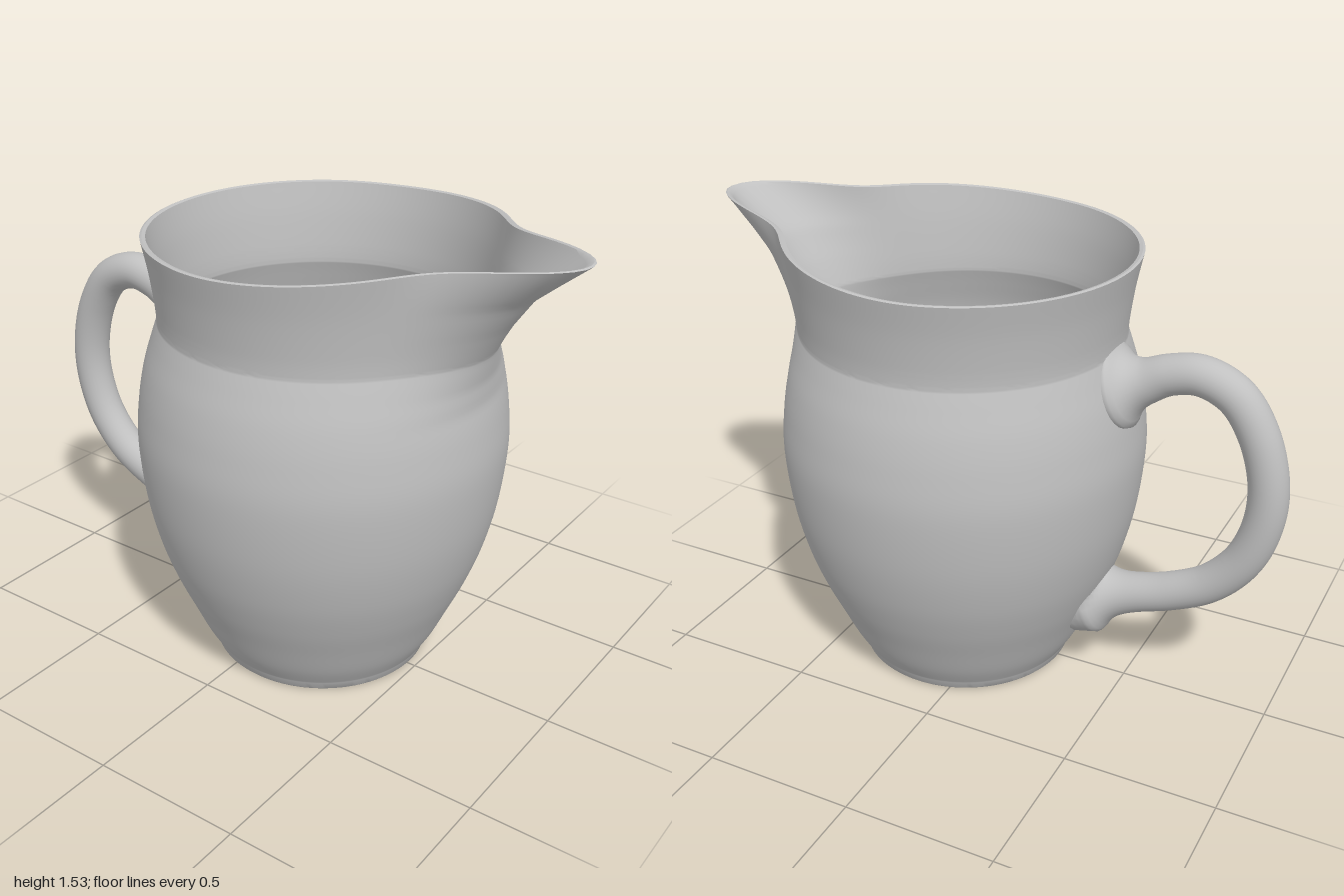
import * as THREE from 'three';
import { toCreasedNormals } from 'three/addons/utils/BufferGeometryUtils.js';

const AXIS_Z = 0.11;   // the pot's axis sits forward of the origin
const NECK_Y = 1.19, RIM_Y = 1.465, WALL = 0.018;

// Piecewise linear lookup in a list of [input, output]
function lookup(table, v) {
  if (v <= table[0][0]) return table[0][1];
  for (let i = 1; i < table.length; i++) {
    const [a, fa] = table[i - 1], [b, fb] = table[i];
    if (v <= b) return fa + (fb - fa) * (v - a) / (b - a);
  }
  return table[table.length - 1][1];
}

const smooth = THREE.MathUtils.smoothstep;

// Outer silhouette: rounded belly, then a flared collar
const belly = new THREE.SplineCurve([
  [0.37, 0.03], [0.412, 0.1], [0.458, 0.2], [0.507, 0.31], [0.553, 0.44], [0.589, 0.6],
  [0.607, 0.79], [0.597, 0.93], [0.577, 1.04], [0.55, 1.13], [0.53, NECK_Y],
].map(([r, y]) => new THREE.Vector2(r, y))).getPoints(60);
const collar = new THREE.SplineCurve([
  [0.53, NECK_Y], [0.534, 1.25], [0.549, 1.36], [0.57, RIM_Y],
].map(([r, y]) => new THREE.Vector2(r, y))).getPoints(24).slice(1);
const outline = [...belly, ...collar];
const radiusTable = outline.map((p) => [p.y, p.x]);
const outerRadius = (y) => lookup(radiusTable, y);

// How strongly the spout pulls the wall forward at each height
const spoutPull = [[1.03, 0], [1.1, 0.06], [1.18, 0.18], [1.27, 0.34],
  [1.355, 0.53], [1.405, 0.74], [RIM_Y, 1]];

function makePot(material) {
  const profile = [
    new THREE.Vector2(0, 0), new THREE.Vector2(0.357, 0), new THREE.Vector2(0.365, 0.008),
    ...outline,
    new THREE.Vector2(0.563, RIM_Y + 0.003),
    ...outline.slice(1).reverse().map((p) => new THREE.Vector2(p.x - WALL, p.y)),
    new THREE.Vector2(0.355, 0.035), new THREE.Vector2(0, 0.035),
  ];
  const geometry = new THREE.LatheGeometry(profile, 160, Math.PI);
  const pos = geometry.attributes.position;
  for (let i = 0; i < pos.count; i++) {
    let x = pos.getX(i), y = pos.getY(i), z = pos.getZ(i);
    const pull = lookup(spoutPull, y);
    if (pull > 0) {
      // Spout: a bump around the front that narrows towards the lip
      const angle = Math.atan2(x, z), r = Math.hypot(x, z);
      const spread = THREE.MathUtils.lerp(0.42, 0.285, pull);
      const k = 1 + 0.32 * pull * Math.exp(-((angle / spread) ** 2)) / r;
      x *= k;
      z *= k;
    }
    z += AXIS_Z;
    // The rim rises gently towards the spout
    y += 0.066 * smooth(z, -0.05, 1.08) * THREE.MathUtils.clamp((y - NECK_Y) / (RIM_Y - NECK_Y), 0, 1);
    pos.setXYZ(i, x, y, z);
  }
  const mesh = new THREE.Mesh(toCreasedNormals(geometry, 0.6), material);
  mesh.name = 'pot';
  return mesh;
}

function makeHandle(material) {
  const path = new THREE.CatmullRomCurve3([
    [-0.37, 1.065], [-0.44, 1.085], [-0.52, 1.115], [-0.6, 1.152], [-0.7, 1.168], [-0.81, 1.123],
    [-0.89, 1.01], [-0.935, 0.85], [-0.93, 0.71], [-0.88, 0.57], [-0.78, 0.455],
    [-0.65, 0.385], [-0.52, 0.342], [-0.42, 0.315], [-0.32, 0.29],
  ].map(([z, y]) => new THREE.Vector3(0, y, z)));
  const rings = 140, sides = 28;
  const geometry = new THREE.TubeGeometry(path, rings, 0.064, sides);
  const pos = geometry.attributes.position;
  const v = new THREE.Vector3();
  for (let i = 0; i < pos.count; i++) {
    const centre = path.getPointAt(Math.floor(i / (sides + 1)) / rings);
    // Flare where the handle meets the pot
    const gap = Math.max(0, AXIS_Z - centre.z - outerRadius(centre.y));
    const flare = 1 + 1.15 * Math.exp(-gap / 0.04);
    v.fromBufferAttribute(pos, i).sub(centre).multiplyScalar(flare).add(centre);
    // Keep the ends buried in the wall without reaching the inside
    const dz = v.z - AXIS_Z, r = Math.hypot(v.x, dz), least = outerRadius(v.y) - 0.007;
    if (r < least) {
      v.x *= least / r;
      v.z = AXIS_Z + dz * least / r;
    }
    pos.setXYZ(i, v.x, v.y, v.z);
  }
  const mesh = new THREE.Mesh(toCreasedNormals(geometry, 1.2), material);
  mesh.name = 'handle';
  return mesh;
}

export function createModel() {
  const glaze = new THREE.MeshStandardMaterial({ color: 0xc0c0c0 });
  glaze.name = 'grey glaze';
  const jug = new THREE.Group();
  jug.name = 'jug';
  jug.add(makePot(glaze), makeHandle(glaze));
  return jug;
}
